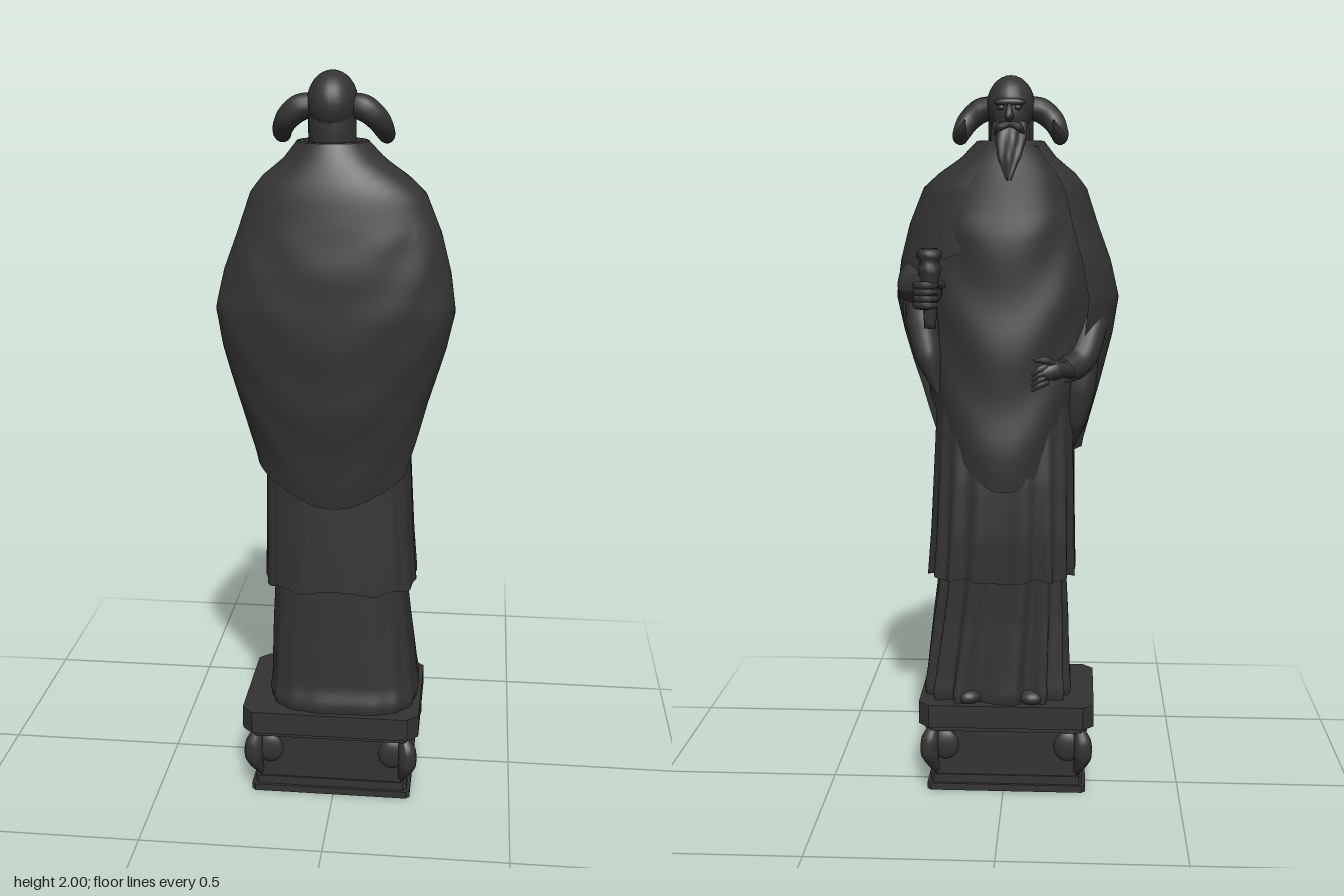
import * as THREE from 'three';

const mat = new THREE.MeshStandardMaterial({ color: 0x333333, side: THREE.DoubleSide });
const { sin, cos, PI, abs, max, pow, sign } = Math;

function add(parent, name, geo, x = 0, y = 0, z = 0) {
  const m = new THREE.Mesh(geo, mat);
  m.name = name;
  m.position.set(x, y, z);
  parent.add(m);
  return m;
}

// Linear lookup in rows of [y, xMin, xMax, zFront, zWidest, zBack], listed top down.
function rowAt(rows, y) {
  let k = 0;
  while (k < rows.length - 2 && y < rows[k + 1][0]) k++;
  const a = rows[k], b = rows[k + 1];
  const t = THREE.MathUtils.clamp((a[0] - y) / (a[0] - b[0]), 0, 1);
  return a.map((v, i) => v + (b[i] - v) * t);
}

// Cloth surface around the body; hem(a) gives the lower edge, fold(a, y) the ripple.
function drape(rows, { hem, fold, from = 0, to = 2 * PI, n = 80, m = 32, power = 0.9 }) {
  const closed = to - from > 6.28, cols = closed ? n : n + 1;
  const pos = [], idx = [];
  for (let j = 0; j <= m; j++) for (let i = 0; i < cols; i++) {
    const a = from + (to - from) * i / n, top = rows[0][0];
    const y = top + (hem(a) - top) * j / m;
    const [, x0, x1, zf, zw, zb] = rowAt(rows, y);
    const c = sign(cos(a)) * pow(abs(cos(a)), power), s = sign(sin(a)) * pow(abs(sin(a)), power);
    const f = 1 + fold(a, y);
    pos.push((x0 + x1) / 2 + (x1 - x0) / 2 * c * f, y, zw + (s > 0 ? zb - zw : zw - zf) * s * f);
  }
  for (let j = 0; j < m; j++) for (let i = 0; i < n; i++) {
    const p = j * cols + i, q = j * cols + (i + 1) % cols;
    idx.push(p, q, q + cols, p, q + cols, p + cols);
  }
  const g = new THREE.BufferGeometry();
  g.setAttribute('position', new THREE.Float32BufferAttribute(pos, 3));
  g.setIndex(idx);
  g.computeVertexNormals();
  return g;
}

// Tube whose radius follows a list of values along its length.
function limb(points, radii, seg = 24, sides = 14) {
  const curve = new THREE.CatmullRomCurve3(points.map(p => new THREE.Vector3(...p)));
  const g = new THREE.TubeGeometry(curve, seg, 1, sides);
  const p = g.attributes.position, v = new THREE.Vector3();
  for (let i = 0; i < p.count; i++) {
    const u = Math.floor(i / (sides + 1)) / seg, k = u * (radii.length - 1);
    const lo = Math.min(Math.floor(k), radii.length - 2);
    const r = radii[lo] + (radii[lo + 1] - radii[lo]) * (k - lo);
    const c = curve.getPointAt(u);
    v.fromBufferAttribute(p, i).sub(c).multiplyScalar(r).add(c);
    p.setXYZ(i, v.x, v.y, v.z);
  }
  g.computeVertexNormals();
  return g;
}

function ball(parent, name, at, size) {
  const m = add(parent, name, new THREE.SphereGeometry(1, 24, 16), ...at);
  m.scale.set(...size);
}

// Horizontal slab with cut corners.
function slab(hx, hz, cut, y0, y1) {
  const s = new THREE.Shape([[-hx, -hz + cut], [-hx + cut, -hz], [hx - cut, -hz], [hx, -hz + cut],
    [hx, hz - cut], [hx - cut, hz], [-hx + cut, hz], [-hx, hz - cut]].map(p => new THREE.Vector2(...p)));
  return new THREE.ExtrudeGeometry(s, { depth: y1 - y0, bevelEnabled: false }).rotateX(-PI / 2).translate(0, y0, 0);
}

function buildPlinth(root) {
  const g = new THREE.Group();
  g.name = 'plinth';
  g.position.set(-0.008, 0, 0.07);
  root.add(g);
  [[0.226, 0.155, 0.01, 0, 0.02], [0.217, 0.147, 0.01, 0.02, 0.045], [0.21, 0.142, 0.01, 0.045, 0.19],
    [0.23, 0.163, 0.02, 0.183, 0.2], [0.248, 0.18, 0.03, 0.2, 0.265]]
    .forEach((d, i) => add(g, 'plinthLayer' + (i + 1), slab(...d)));
  // Carved scroll on each corner, with a leaf along both faces
  for (const sx of [-1, 1]) for (const sz of [-1, 1]) {
    const at = (d, y) => [sx * (0.2 + d), y, sz * (0.133 + d)];
    add(g, 'cornerScroll', limb([at(0.005, 0.19), at(0.018, 0.15), at(0.018, 0.11), at(0.002, 0.06), at(-0.01, 0.04)],
      [0.014, 0.025, 0.026, 0.016, 0.005]));
    ball(g, 'scrollLeaf', [sx * 0.175, 0.135, sz * 0.14], [0.04, 0.045, 0.018]);
    ball(g, 'scrollLeaf', [sx * 0.208, 0.135, sz * 0.11], [0.018, 0.045, 0.04]);
  }
}

function buildRobes(root) {
  const front = a => max(0, -sin(a));
  // Long under-robe with deeper folds at the front
  add(root, 'underRobe', drape([[0.7, -0.17, 0.18, -0.075, 0.07, 0.2], [0.5, -0.18, 0.205, -0.075, 0.07, 0.212],
    [0.33, -0.185, 0.225, -0.085, 0.07, 0.225], [0.285, -0.19, 0.232, -0.09, 0.07, 0.24], [0.262, -0.185, 0.225, -0.085, 0.07, 0.235]],
  { hem: () => 0.262, power: 0.65, n: 120, fold: (a, y) => (0.012 + 0.11 * front(a)) * sin(15 * a + y * 4) * (1.1 - y) }));
  for (const x of [-0.08, 0.1]) ball(root, 'shoe', [x, 0.28, -0.055], [0.04, 0.025, 0.045]);
  // Knee-length tunic
  add(root, 'tunic', drape([[1.2, -0.19, 0.19, -0.05, 0.07, 0.19], [0.9, -0.195, 0.203, -0.09, 0.07, 0.2],
    [0.75, -0.197, 0.21, -0.098, 0.07, 0.21], [0.62, -0.2, 0.22, -0.094, 0.07, 0.218]],
  { hem: a => 0.622 + 0.006 * sin(9 * a), power: 0.7, n: 120,
    fold: (a, y) => (0.01 + 0.05 * front(a)) * sin(17 * a) * (1.2 - y) * 1.6 }));
  // Front drape ending in a rounded point
  add(root, 'frontDrape', drape([[1.82, -0.09, 0.065, -0.015, 0.07, 0.15], [1.75, -0.15, 0.15, -0.03, 0.08, 0.17],
    [1.6, -0.22, 0.235, -0.052, 0.1, 0.2], [1.4, -0.25, 0.245, -0.068, 0.1, 0.21],
    [1.2, -0.22, 0.22, -0.085, 0.09, 0.2], [1.0, -0.197, 0.207, -0.1, 0.08, 0.19], [0.88, -0.19, 0.2, -0.105, 0.08, 0.18]],
  { hem: a => 0.88 + 0.25 * pow(abs(cos(a + 0.05)), 2.2), power: 1,
    fold: (a, y) => 0.025 * front(a) * sin(22 * (y - 0.9 - 0.35 * cos(a) * cos(a))) * (y < 1.6 ? 1 : 0.3) }));
  // Wide mantle over shoulders and back; its edge climbs diagonally to the raised arm
  const lift = a => THREE.MathUtils.clamp((0.45 - a) / 0.95, 0, 1);
  add(root, 'mantle', drape([[1.825, -0.105, 0.08, -0.01, 0.08, 0.165], [1.78, -0.14, 0.125, -0.025, 0.09, 0.185],
    [1.74, -0.19, 0.185, -0.03, 0.1, 0.2], [1.7, -0.222, 0.23, -0.035, 0.11, 0.212], [1.6, -0.255, 0.272, -0.045, 0.125, 0.23],
    [1.5, -0.292, 0.298, -0.055, 0.13, 0.245], [1.4, -0.315, 0.312, -0.058, 0.137, 0.252], [1.3, -0.3, 0.29, -0.055, 0.135, 0.252],
    [1.15, -0.262, 0.245, -0.05, 0.12, 0.247], [1.0, -0.22, 0.215, -0.05, 0.11, 0.228], [0.86, -0.195, 0.195, -0.05, 0.1, 0.212]],
  { from: -1.15, to: PI + 0.75, n: 90, m: 40, power: 1,
    hem: a => {
      if (a < 0.45) return 0.951 + 0.5 * lift(a) + 0.12 * max(0, -0.5 - a);
      return sin(a) > 0 ? 0.87 + 0.1 * cos(a) * cos(a) : 0.97 + 0.3 * pow(-sin(a), 1.1);
    },
    fold: (a, y) => 0.014 * max(0, sin(a)) * sin(30 * (y - 0.35 * cos(a) * cos(a))) * (y < 1.6 ? 1 : 0) }));
  // Rolled collar
  const collar = add(root, 'collar', new THREE.TorusGeometry(0.073, 0.015, 10, 32).rotateX(PI / 2), -0.012, 1.812, 0.078);
  collar.scale.x = 1.1;
}

function buildArms(root) {
  // Raised arm with a gathered sleeve
  add(root, 'raisedSleeve', limb([[0.235, 1.5, 0.11], [0.255, 1.45, 0.05], [0.245, 1.43, 0], [0.205, 1.435, -0.07], [0.193, 1.435, -0.1]],
    [0.02, 0.042, 0.045, 0.04, 0.03]));
  add(root, 'sleeveDrop', limb([[0.235, 1.43, 0.01], [0.225, 1.33, -0.015], [0.205, 1.24, -0.045], [0.18, 1.15, -0.06]],
    [0.04, 0.045, 0.036, 0.006]));
  add(root, 'raisedForearm', limb([[0.2, 1.435, -0.06], [0.18, 1.43, -0.13], [0.182, 1.43, -0.18]], [0.028, 0.021, 0.027]));
  ball(root, 'grippingPalm', [0.188, 1.432, -0.198], [0.032, 0.034, 0.032]);
  for (let i = 0; i < 4; i++) {
    const y = 1.405 + i * 0.017;
    add(root, 'finger', limb([[0.21, y, -0.195], [0.216, y, -0.228], [0.188, y, -0.248], [0.162, y, -0.232]], [0.008, 0.011, 0.011, 0.006], 14, 8));
  }
  add(root, 'thumb', limb([[0.172, 1.45, -0.18], [0.154, 1.455, -0.205], [0.162, 1.46, -0.235]], [0.011, 0.012, 0.005], 12, 8));
  // Torch held upright
  add(root, 'torch', new THREE.LatheGeometry([[0, 1.345], [0.016, 1.345], [0.016, 1.36], [0.022, 1.47], [0.03, 1.487], [0.03, 1.503],
    [0.025, 1.508], [0.025, 1.522], [0.033, 1.527], [0.033, 1.54], [0.026, 1.546], [0.022, 1.55], [0.02, 1.543], [0, 1.543]]
    .map(p => new THREE.Vector2(...p)), 16), 0.182, 0, -0.224);

  // Lowered arm resting across the waist, hand open
  add(root, 'loweredSleeve', limb([[-0.255, 1.42, 0.12], [-0.235, 1.31, 0.06], [-0.205, 1.23, 0.01], [-0.165, 1.21, -0.04]], [0.03, 0.045, 0.045, 0.036]));
  add(root, 'loweredSleeveDrop', limb([[-0.215, 1.24, 0.04], [-0.205, 1.14, 0.03], [-0.19, 1.04, 0.04], [-0.185, 0.97, 0.06]], [0.045, 0.045, 0.035, 0.006]));
  add(root, 'loweredHand', limb([[-0.185, 1.21, -0.02], [-0.155, 1.215, -0.055], [-0.13, 1.215, -0.078], [-0.105, 1.205, -0.09]],
    [0.024, 0.021, 0.028, 0.02]));
  for (let i = 0; i < 4; i++) {
    const y = 1.183 + i * 0.014;
    add(root, 'openFinger', limb([[-0.12, y + 0.004, -0.088], [-0.1, y - 0.004, -0.1], [-0.078, y - 0.02, -0.1]], [0.01, 0.01, 0.004], 10, 8));
  }
  add(root, 'openThumb', limb([[-0.135, 1.235, -0.082], [-0.115, 1.246, -0.098], [-0.085, 1.245, -0.102]], [0.012, 0.01, 0.004], 10, 8));
}

function buildHead(root) {
  const g = new THREE.Group();
  g.name = 'head';
  g.position.x = -0.013;
  root.add(g);
  ball(g, 'skull', [0, 1.918, 0.082], [0.066, 0.082, 0.082]);
  add(g, 'neckHair', limb([[0, 1.93, 0.09], [0, 1.86, 0.09], [0, 1.78, 0.085]], [0.06, 0.062, 0.06]));
  ball(g, 'face', [0, 1.895, 0.045], [0.05, 0.065, 0.05]);
  ball(g, 'brow', [0, 1.925, 0.008], [0.042, 0.012, 0.014]);
  add(g, 'nose', limb([[0, 1.92, 0.002], [0, 1.9, -0.012], [0, 1.885, -0.016], [0, 1.878, 0]], [0.006, 0.009, 0.012, 0.004], 12, 8));
  // Full beard tapering to a point on the chest
  add(g, 'beard', drape([[1.875, -0.048, 0.048, -0.002, 0.04, 0.07], [1.83, -0.052, 0.052, -0.02, 0.035, 0.07],
    [1.78, -0.04, 0.04, -0.034, 0.015, 0.05], [1.72, -0.008, 0.008, -0.04, -0.02, 0]],
  { hem: () => 1.72, n: 40, m: 16, fold: (a, y) => 0.06 * sin(9 * a + y * 30) }));
  for (const s of [-1, 1]) {
    add(g, 'moustache', limb([[0, 1.868, -0.004], [s * 0.025, 1.86, -0.008], [s * 0.04, 1.84, 0.005]], [0.008, 0.011, 0.003], 12, 8));
    ball(g, 'eye', [s * 0.022, 1.911, 0.001], [0.01, 0.007, 0.007]);
    // Ram horn curling out, down and forward
    add(g, 'horn', limb([[s * 0.045, 1.912, 0.085], [s * 0.08, 1.908, 0.093], [s * 0.115, 1.88, 0.088], [s * 0.133, 1.846, 0.06],
      [s * 0.134, 1.834, 0.025], [s * 0.128, 1.848, -0.005], [s * 0.118, 1.878, -0.028]],
    [0.032, 0.034, 0.031, 0.026, 0.021, 0.014, 0.002], 32));
  }
}

export function createModel() {
  const root = new THREE.Group();
  root.name = 'hornedStatue';
  buildPlinth(root);
  buildRobes(root);
  buildArms(root);
  buildHead(root);
  return root;
}
